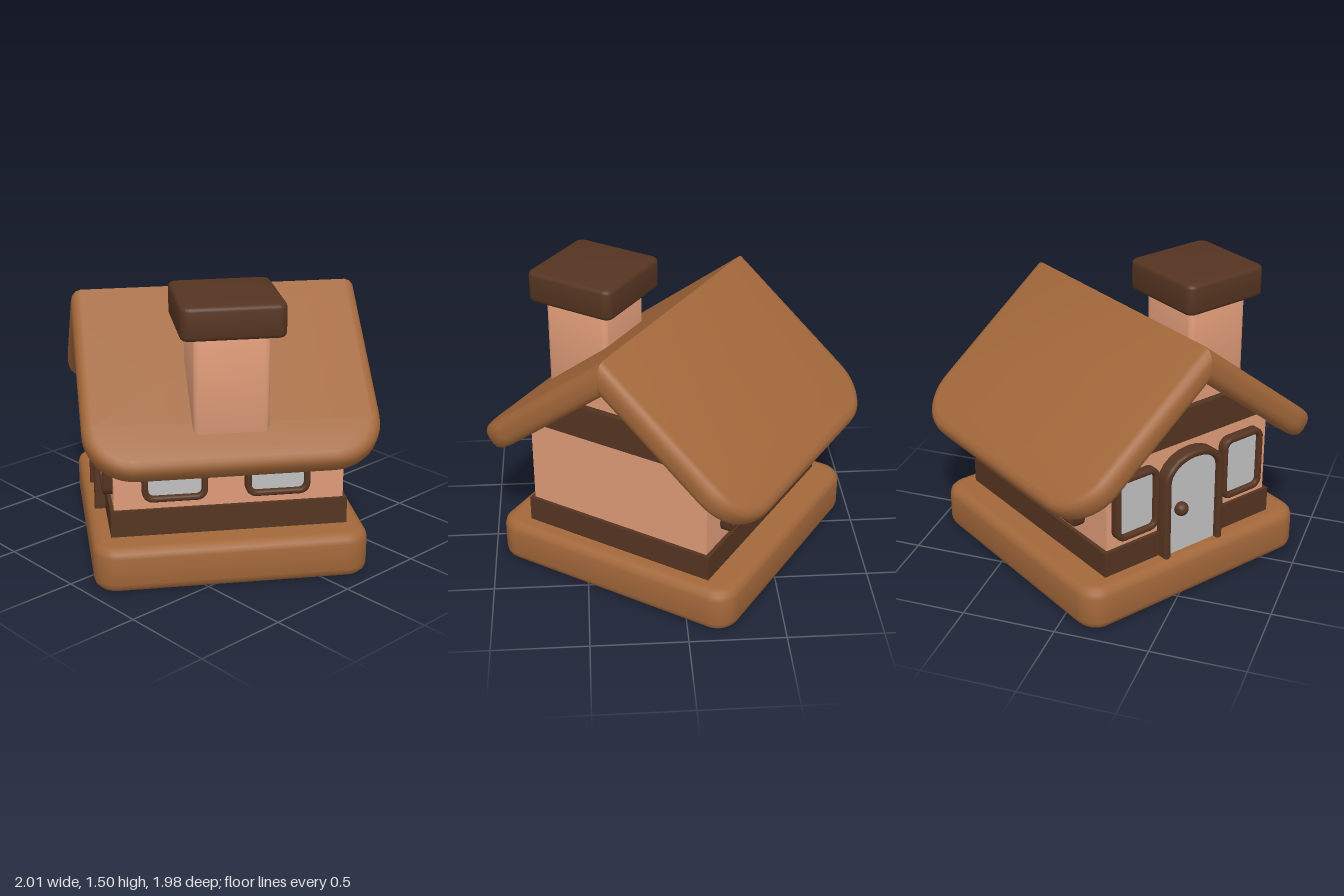
import * as THREE from 'three';
import { toCreasedNormals } from 'three/addons/utils/BufferGeometryUtils.js';

const mat = (name, color) => {
  const m = new THREE.MeshStandardMaterial({ color });
  m.name = name;
  return m;
};

// Rounded rectangle outline, with half sizes
function roundRect(path, hw, hh, r) {
  const q = Math.PI / 2, x = hw - r, y = hh - r;
  path.absarc(x, y, r, 0, q);
  path.absarc(-x, y, r, q, 2 * q);
  path.absarc(-x, -y, r, 2 * q, 3 * q);
  path.absarc(x, -y, r, 3 * q, 4 * q);
  path.closePath();
  return path;
}

// Door outline with an elliptical arch
function arch(path, hw, bottom, spring, rise) {
  path.moveTo(-hw, bottom);
  path.lineTo(hw, bottom);
  path.lineTo(hw, spring);
  path.absellipse(0, spring, hw, rise, 0, Math.PI);
  path.closePath();
  return path;
}

// Extrusion from z = 0 to depth, bevelled inside the outline
function solid(shape, depth, bevel = 0) {
  return new THREE.ExtrudeGeometry(shape, {
    depth: depth - 2 * bevel, bevelEnabled: bevel > 0, bevelSize: bevel, bevelThickness: bevel,
    bevelOffset: -bevel, bevelSegments: 3, curveSegments: 5,
  }).translate(0, 0, bevel);
}

// Horizontal rounded block standing on y
function slab(hw, hd, y, h, r, bevel) {
  return solid(roundRect(new THREE.Shape(), hw, hd, r), h, bevel).rotateX(-Math.PI / 2).translate(0, y, 0);
}

// One roof slope, mitred on the plane x = 0
function roofSlope() {
  const len = 1.08, half = 0.75, thick = 0.148, bevel = 0.052, r = 0.26;
  const a = Math.atan(0.8), c = Math.cos(a), s = Math.sin(a);
  const shape = new THREE.Shape();
  shape.moveTo(0, half);
  shape.lineTo(0, -half);
  shape.absarc(len - r, -half + r, r, -Math.PI / 2, 0);
  shape.absarc(len - r, half - r, r, 0, Math.PI / 2);
  shape.closePath();
  const geo = solid(shape, thick, bevel), p = geo.attributes.position;
  for (let i = 0; i < p.count; i++) {
    const h = p.getZ(i) - thick;
    const u = p.getX(i) < bevel + 0.01 ? -h * s / c : p.getX(i);
    p.setXYZ(i, u * c + h * s, 1.4 - u * s + h * c, -p.getY(i));
  }
  return geo;
}

export function createModel() {
  const clay = mat('roofBrown', 0xa2673a);
  const plaster = mat('wallPink', 0xdf9b78);
  const wood = mat('darkWood', 0x553421);
  const glass = mat('paleGrey', 0xc0c0c0);

  const model = new THREE.Group();
  const house = new THREE.Group();
  house.name = 'house';
  house.rotation.y = -THREE.MathUtils.degToRad(34);
  model.add(house);

  const add = (name, geo, material, parent = house) => {
    const mesh = new THREE.Mesh(toCreasedNormals(geo, 0.7), material);
    mesh.name = name;
    parent.add(mesh);
    return mesh;
  };

  // Base and plinth
  add('base', slab(0.71, 0.71, 0, 0.24, 0.12, 0.05), clay);
  add('plinth', new THREE.BoxGeometry(1.094, 0.16, 1.228).translate(0, 0.3, 0), wood);

  // Walls with both gables
  const gable = new THREE.Shape([[-0.525, 0.23], [0.525, 0.23], [0.525, 0.83], [0, 1.25], [-0.525, 0.83]]
    .map(([x, y]) => new THREE.Vector2(x, y)));
  add('walls', solid(gable, 1.19).translate(0, 0, -0.595), plaster);

  // Tie beam showing on both gables
  const beam = new THREE.Shape([[-0.45, 0.87], [0.45, 0.87], [0.225, 1.05], [-0.225, 1.05]]
    .map(([x, y]) => new THREE.Vector2(x, y)));
  add('gableBeam', solid(beam, 1.26).translate(0, 0, -0.63), wood);

  // Roof
  add('roofLeft', roofSlope(), clay);
  add('roofRight', roofSlope(), clay).rotation.y = Math.PI;

  // Chimney
  add('chimney', slab(0.19, 0.19, 0.8, 0.56, 0.03, 0.005).translate(0.512, 0, 0.018), plaster);
  add('chimneyCap', slab(0.26, 0.26, 1.335, 0.17, 0.05, 0.022).translate(0.512, 0, 0.018), wood);

  // Windows, each placed on a wall turned by angle
  const addWindow = (name, angle, x, wall, hw) => {
    const g = new THREE.Group();
    g.name = name;
    const frame = roundRect(new THREE.Shape(), hw, 0.18, 0.055);
    frame.holes.push(roundRect(new THREE.Path(), hw - 0.031, 0.149, 0.03));
    add('windowFrame', solid(frame, 0.065, 0.012), wood, g);
    add('windowPane', new THREE.BoxGeometry(2 * hw - 0.04, 0.32, 0.009).translate(0, 0, 0.034), glass, g);
    g.position.set(x, 0.61, wall - 0.015).applyAxisAngle(new THREE.Vector3(0, 1, 0), angle);
    g.rotation.y = angle;
    house.add(g);
  };
  for (const x of [-0.358, 0.335]) addWindow('frontWindow', 0, x, 0.595, 0.135);
  for (const x of [-0.285, 0.245]) {
    addWindow('leftWindow', Math.PI / 2, x, 0.525, 0.168);
    addWindow('rightWindow', -Math.PI / 2, x, 0.525, 0.168);
  }

  // Door
  const doorX = -0.01;
  const doorFrame = arch(new THREE.Shape(), 0.193, 0.1, 0.675, 0.143);
  doorFrame.holes.push(arch(new THREE.Path(), 0.153, 0.18, 0.675, 0.103));
  add('doorFrame', solid(doorFrame, 0.085, 0.015).translate(doorX, 0, 0.585), wood);
  add('door', solid(arch(new THREE.Shape(), 0.165, 0.2, 0.675, 0.118), 0.05).translate(doorX, 0, 0.59), glass);
  add('doorKnob', new THREE.SphereGeometry(0.038, 16, 12).translate(-0.092, 0.5, 0.655), wood);

  return model;
}
